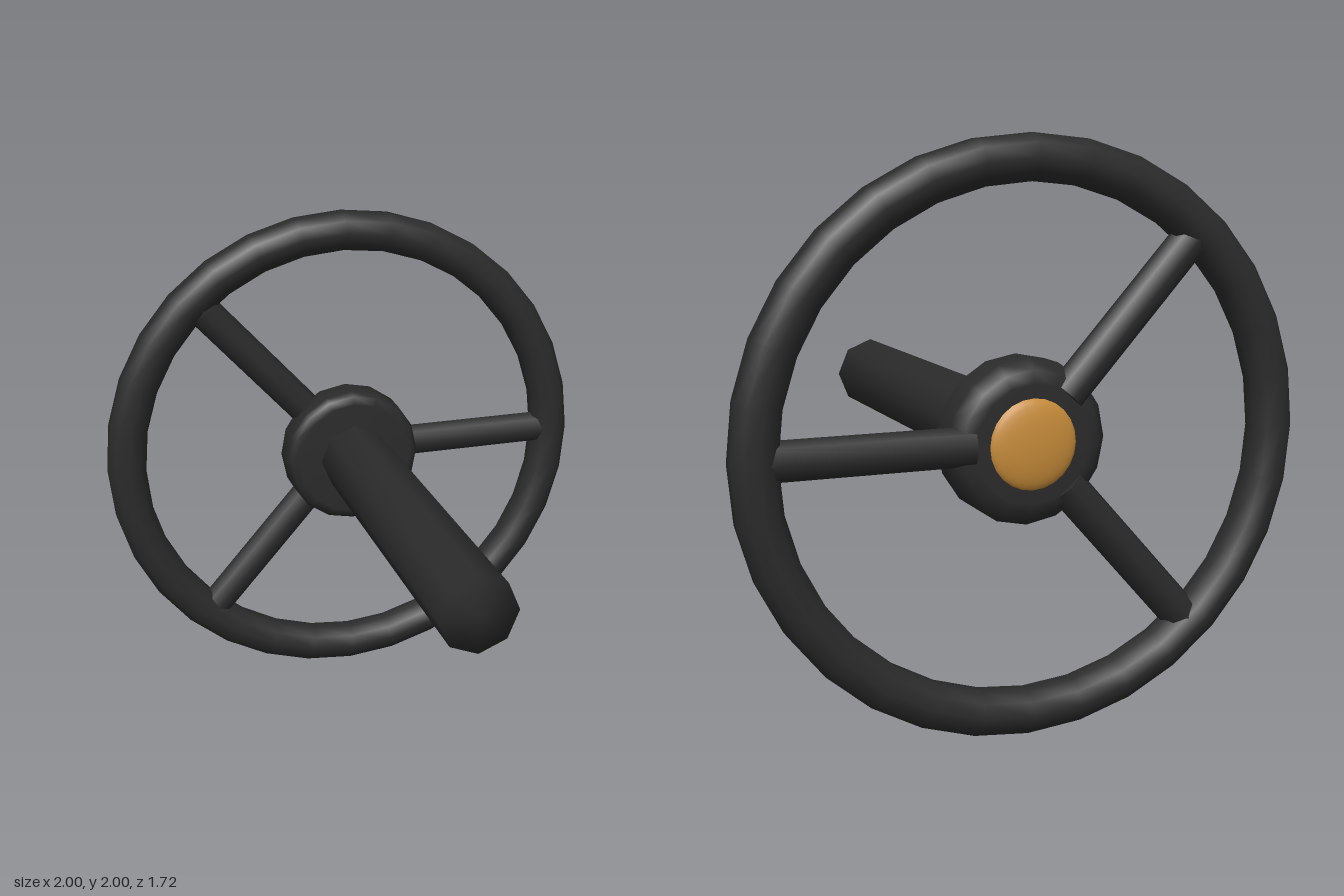
import * as THREE from 'three';
import { mergeVertices } from 'three/addons/utils/BufferGeometryUtils.js';

const WHEEL_Z = -0.78;

// Join duplicate vertices so shading runs smoothly over every edge
function weld(geometry) {
  geometry.deleteAttribute('uv');
  geometry.deleteAttribute('normal');
  const welded = mergeVertices(geometry, 1e-4);
  welded.computeVertexNormals();
  return welded;
}

export function createModel() {
  const group = new THREE.Group();
  const black = new THREE.MeshStandardMaterial({ color: 0x2b2b2b });
  black.name = 'black';
  const gold = new THREE.MeshStandardMaterial({ color: 0xc78c3a });
  gold.name = 'gold';

  const add = (name, geometry, material) => {
    const mesh = new THREE.Mesh(geometry, material);
    mesh.name = name;
    mesh.position.y = 1;
    group.add(mesh);
    return mesh;
  };

  // Rim: ten-sided tube swept round the wheel
  const section = [];
  for (let i = 0; i <= 10; i++) {
    const a = ((i - 4.5) / 10) * Math.PI * 2;
    section.push(new THREE.Vector2(0.924 + 0.08 * Math.cos(a), 0.08 * Math.sin(a)));
  }
  const rim = weld(new THREE.LatheGeometry(section, 32).rotateX(Math.PI / 2));
  add('rim', rim, black).position.z = WHEEL_Z;

  // Hub: chamfered disc, profile runs from back to front
  const profile = [
    [0, -0.825], [0.2, -0.825], [0.245, -0.815], [0.28, -0.775],
    [0.28, -0.67], [0.265, -0.645], [0.235, -0.63], [0, -0.63],
  ].map(([r, z]) => new THREE.Vector2(r, z));
  add('hub', new THREE.LatheGeometry(profile, 16).rotateX(Math.PI / 2), black);

  // Domed centre cap on the driver's side
  const cap = new THREE.SphereGeometry(0.155, 24, 16);
  cap.rotateX(Math.PI / 2).scale(1, 1, 0.24);
  add('centreCap', cap, gold).position.z = -0.82;

  // Steering column
  const column = new THREE.CylinderGeometry(0.143, 0.143, 1.5, 8);
  add('column', weld(column.rotateX(Math.PI / 2)), black).position.z = 0.11;

  // Three spokes
  const spoke = new THREE.CylinderGeometry(0.067, 0.067, 0.7, 8);
  spoke.rotateZ(-Math.PI / 2).translate(0.55, 0, 0);
  for (const degrees of [0, 132, 228]) {
    const mesh = add('spoke', spoke, black);
    mesh.position.z = WHEEL_Z;
    mesh.rotation.z = THREE.MathUtils.degToRad(degrees);
  }

  return group;
}
